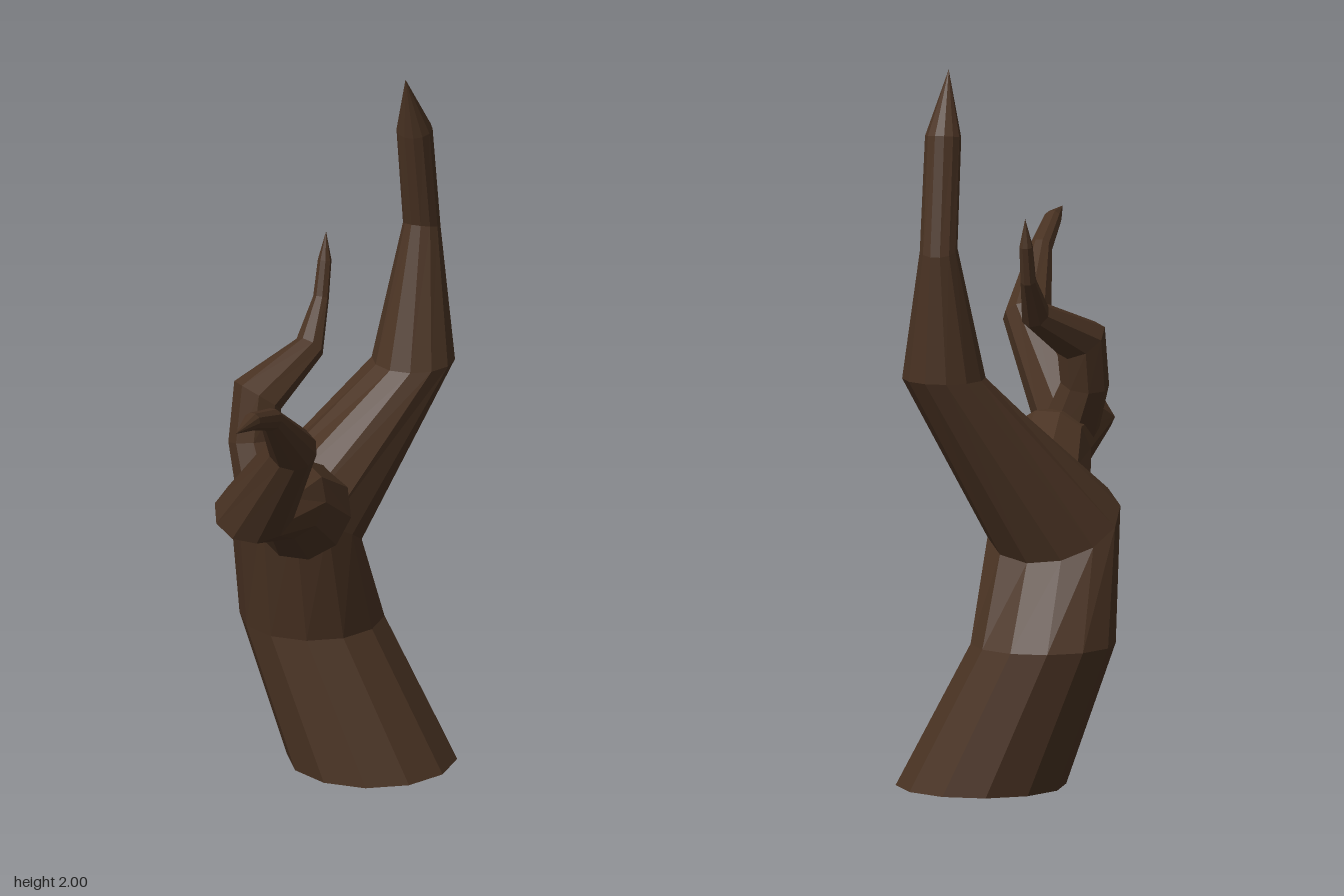
import * as THREE from 'three';

// Lofts a tapering limb through rings: { p: centre, r: radius, n: optional ring normal }
function limbGeometry(rings, sides) {
  const centres = rings.map(({ p }) => new THREE.Vector3(...p));
  const normals = rings.map(({ n }, i) => {
    if (n) return new THREE.Vector3(...n).normalize();
    const into = centres[i].clone().sub(centres[Math.max(i - 1, 0)]).normalize();
    const out = centres[Math.min(i + 1, rings.length - 1)].clone().sub(centres[i]).normalize();
    return into.add(out).normalize();
  });

  // Carry one frame along the path so the sides do not twist
  const positions = [];
  const frame = new THREE.Quaternion();
  let previous = new THREE.Vector3(0, 1, 0);
  rings.forEach(({ r }, i) => {
    frame.premultiply(new THREE.Quaternion().setFromUnitVectors(previous, normals[i]));
    previous = normals[i];
    for (let s = 0; s < sides; s++) {
      const a = ((s + 0.5) / sides) * Math.PI * 2;
      const v = new THREE.Vector3(Math.sin(a) * r, 0, Math.cos(a) * r);
      positions.push(...v.applyQuaternion(frame).add(centres[i]).toArray());
    }
  });

  const index = [];
  const last = rings.length - 1;
  for (let i = 0; i < last; i++) {
    for (let s = 0; s < sides; s++) {
      const a = i * sides + s;
      const b = i * sides + ((s + 1) % sides);
      index.push(a, b, b + sides);
      if (rings[i + 1].r > 0) index.push(a, b + sides, a + sides);
    }
  }
  // Closed bottom end
  for (let s = 1; s < sides - 1; s++) index.push(0, s + 1, s);

  const geometry = new THREE.BufferGeometry();
  geometry.setAttribute('position', new THREE.Float32BufferAttribute(positions, 3));
  geometry.setIndex(index);
  const flat = geometry.toNonIndexed();
  flat.computeVertexNormals();
  return flat;
}

export function createModel() {
  const group = new THREE.Group();
  group.name = 'deadTree';
  const bark = new THREE.MeshStandardMaterial({ color: 0x4a3323, flatShading: true });
  bark.name = 'darkBark';

  const addLimb = (name, sides, rings) => {
    const mesh = new THREE.Mesh(limbGeometry(rings, sides), bark);
    mesh.name = name;
    group.add(mesh);
  };

  // Leaning trunk that runs on into the tall rear bough
  addLimb('trunk', 12, [
    { p: [0.07, 0, -0.48], r: 0.235, n: [0, 1, 0] },
    { p: [-0.105, 0.4, -0.48], r: 0.2, n: [0, 1, 0] },
    { p: [-0.11, 0.72, -0.36], r: 0.188, n: [0.13, 1, -0.55] },
    { p: [0.15, 1.15, -0.595], r: 0.115, n: [0, 1, 0] },
    { p: [0.15, 1.52, -0.665], r: 0.052, n: [0, 1, -0.3] },
    { p: [0.15, 1.825, -0.605], r: 0.05, n: [0, 1, 0.2] },
    { p: [0.15, 2, -0.53], r: 0 },
  ]);

  // Bough reaching forward, with a sharp elbow
  addLimb('frontBough', 10, [
    { p: [-0.05, 0.8, -0.25], r: 0.14 },
    { p: [-0.05, 0.89, -0.12], r: 0.115 },
    { p: [-0.075, 0.925, 0.085], r: 0.112, n: [0.15, 0.85, 0.5] },
    { p: [0.09, 1.19, 0.235], r: 0.068 },
    { p: [0.09, 1.345, 0.415], r: 0.032 },
    { p: [0.09, 1.4, 0.575], r: 0.025 },
    { p: [0.09, 1.415, 0.71], r: 0 },
  ]);

  // Thin crooked twig growing from the front bough
  addLimb('twig', 8, [
    { p: [-0.08, 0.9, -0.05], r: 0.085 },
    { p: [-0.14, 1.06, -0.09], r: 0.068 },
    { p: [-0.135, 1.185, -0.115], r: 0.075, n: [0.4, 0.85, -0.5] },
    { p: [-0.04, 1.28, -0.275], r: 0.042 },
    { p: [-0.04, 1.39, -0.37], r: 0.022 },
    { p: [-0.04, 1.49, -0.4], r: 0.019 },
    { p: [-0.04, 1.57, -0.412], r: 0 },
  ]);

  return group;
}
